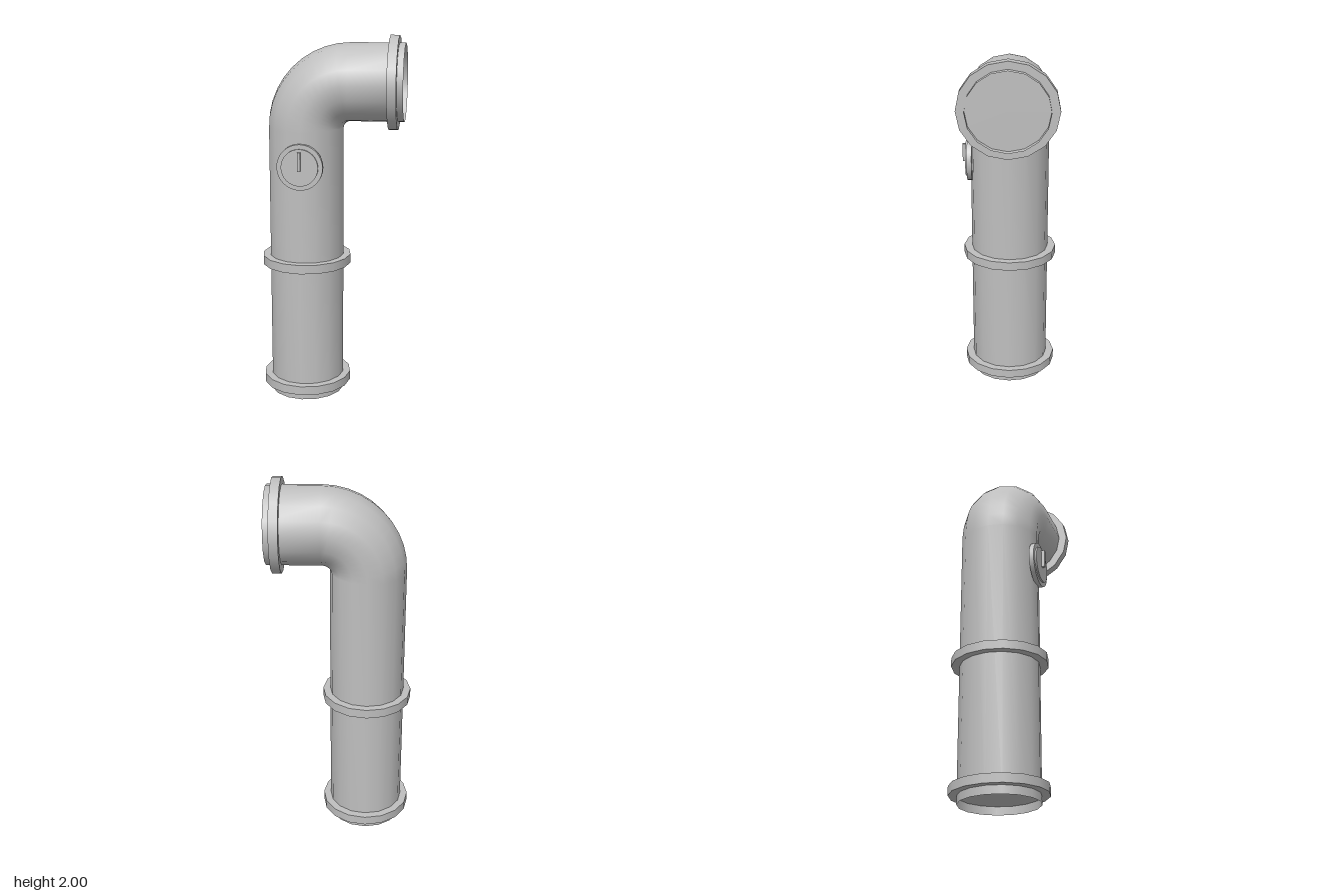
import * as THREE from 'three';

const SIDES = 16;
const BEND_STEPS = 10;
const PIPE_X = -0.145; // axis of the upright pipe
const BEND = { x: 0.1, y: 1.505, radius: 0.245 };

// Open elbow pipe: rings swept up, round a quarter turn, then out to +x
function pipeGeometry() {
  const stations = [{ a: 0, dx: 0, dy: -BEND.y }];
  for (let i = 0; i <= BEND_STEPS; i++) stations.push({ a: (i / BEND_STEPS) * Math.PI / 2, dx: 0, dy: 0 });
  stations.push({ a: Math.PI / 2, dx: 0.29, dy: 0 });

  const positions = [];
  const index = [];
  stations.forEach(({ a, dx, dy }, s) => {
    const inPlane = THREE.MathUtils.lerp(0.205, 0.21, a / (Math.PI / 2));
    for (let j = 0; j < SIDES; j++) {
      const b = (j / SIDES) * Math.PI * 2;
      const r = BEND.radius + Math.cos(b) * inPlane;
      positions.push(
        BEND.x + dx - Math.cos(a) * r,
        BEND.y + dy + Math.sin(a) * r,
        Math.sin(b) * 0.216
      );
      if (s === 0) continue;
      const k = (j + 1) % SIDES;
      const p = (s - 1) * SIDES;
      const q = s * SIDES;
      index.push(p + j, p + k, q + j, p + k, q + k, q + j);
    }
  });
  const geometry = new THREE.BufferGeometry();
  geometry.setAttribute('position', new THREE.Float32BufferAttribute(positions, 3));
  geometry.setIndex(index);
  geometry.computeVertexNormals();
  return geometry;
}

export function createModel() {
  const group = new THREE.Group();
  const metal = new THREE.MeshStandardMaterial({ color: 0xbfbfbf, side: THREE.DoubleSide });
  metal.name = 'grey metal';

  const add = (name, geometry, x, y, z) => {
    const mesh = new THREE.Mesh(geometry, metal);
    mesh.name = name;
    mesh.position.set(x, y, z);
    group.add(mesh);
    return mesh;
  };

  add('elbowPipe', pipeGeometry(), 0, 0, 0);

  // Solid collars; their end faces also close the pipe just inside each mouth
  const collar = (name, x, y, radius, onSide) => {
    const geometry = new THREE.CylinderGeometry(radius, radius, 0.049, SIDES);
    if (onSide) geometry.rotateZ(-Math.PI / 2);
    geometry.scale(1, 1, 0.261 / radius);
    add(name, geometry, x, y, 0);
  };
  collar('bottomCollar', PIPE_X, 0.07, 0.245, false);
  collar('middleCollar', PIPE_X, 0.77, 0.245, false);
  collar('mouthCollar', 0.332, 1.748, 0.252, true);

  // Round dial on the front with a raised pointer
  const disc = (name, radius, z0, z1) => {
    const geometry = new THREE.CylinderGeometry(radius, radius, z1 - z0, 32);
    geometry.rotateX(Math.PI / 2);
    add(name, geometry, PIPE_X, 1.322, (z0 + z1) / 2);
  };
  disc('dialBase', 0.123, 0.207, 0.233);
  disc('dialFace', 0.099, 0.225, 0.242);
  add('dialPointer', new THREE.BoxGeometry(0.016, 0.1, 0.025), PIPE_X, 1.356, 0.248);

  return group;
}
